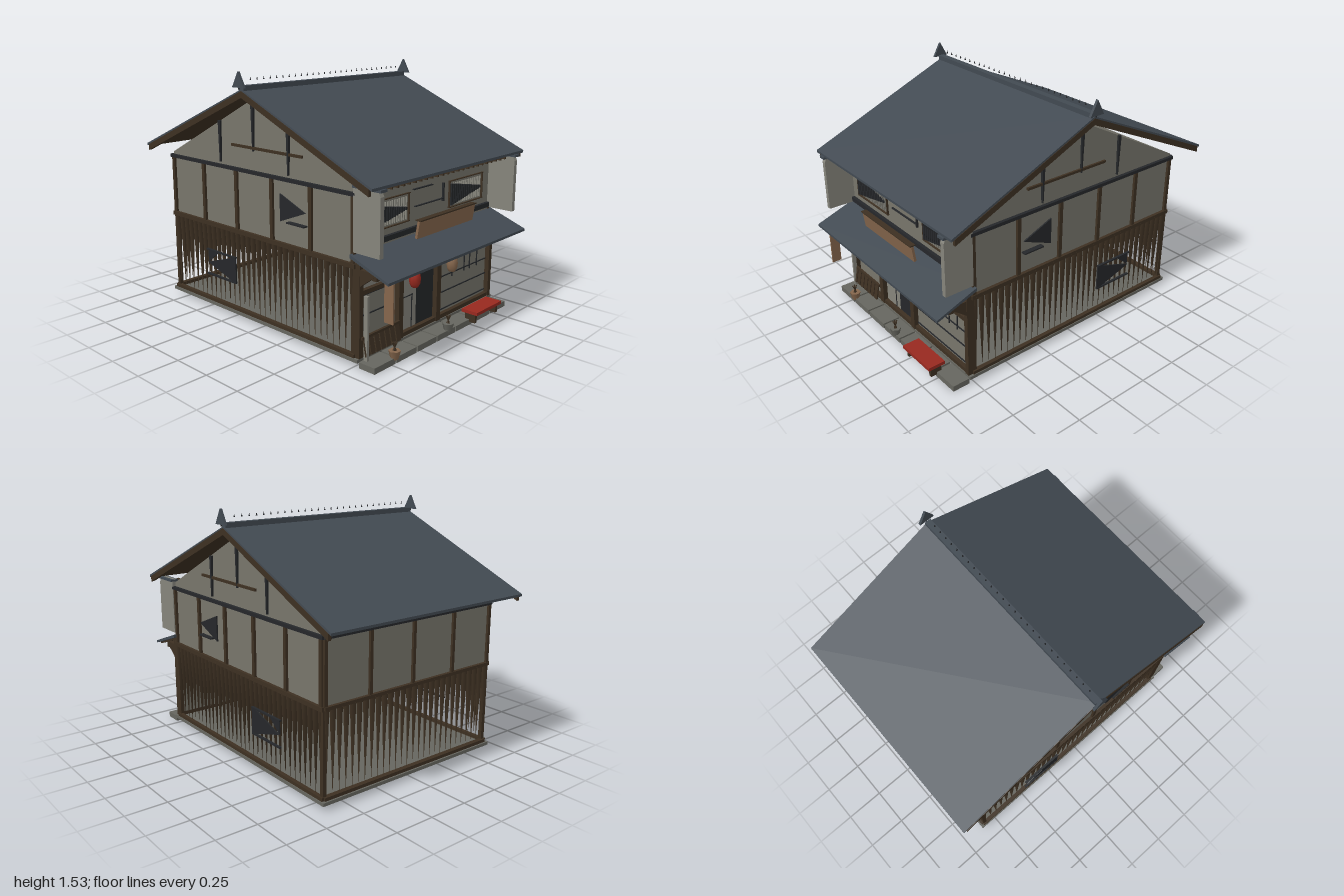
import * as THREE from 'three';

const M = (name, color) => new THREE.MeshStandardMaterial({ name, color, side: THREE.DoubleSide });

export function createModel() {
  const root = new THREE.Group();
  root.name = 'townhouse';
  const plaster = M('plaster', 0x77756b), tile = M('roofTile', 0x424a52), wood = M('darkWood', 0x3d3022);
  const ink = M('charcoal', 0x25272a), tan = M('lightWood', 0x85664c), red = M('red', 0x98291f);
  const stone = M('stone', 0x66665f), pale = M('palePlaster', 0x85847b);

  const add = (name, geo, mat, parent = root) => {
    const m = new THREE.Mesh(geo, mat);
    m.name = name;
    parent.add(m);
    return m;
  };
  // Box given by its limits
  const box = (name, mat, x0, x1, y0, y1, z0, z1, parent = root) => {
    const m = add(name, new THREE.BoxGeometry(x1 - x0, y1 - y0, z1 - z0), mat, parent);
    m.position.set((x0 + x1) / 2, (y0 + y1) / 2, (z0 + z1) / 2);
    return m;
  };
  // Outline in x and y, extruded from z0 to z1
  const prism = (name, mat, pts, z0, z1, parent = root) => {
    const s = new THREE.Shape(pts.map(p => new THREE.Vector2(p[0], p[1])));
    const m = add(name, new THREE.ExtrudeGeometry(s, { depth: z1 - z0, bevelEnabled: false }), mat, parent);
    m.position.z = z0;
    return m;
  };
  // Tapered batten, wide at the top
  const batten = (x, z, parent) => {
    const g = new THREE.ConeGeometry(0.023, 0.5, 4);
    g.rotateX(Math.PI);
    add('wallBatten', g, wood, parent).position.set(x, 0.31, z);
  };

  // Foundation and upper house body
  box('foundation', stone, -0.86, 0.78, 0.03, 0.05, -0.66, 0.66);
  prism('upperWalls', plaster,
    [[-0.83, 0.57], [0.74, 0.57], [0.74, 0.98], [-0.04, 1.37], [-0.83, 0.97]], -0.635, 0.635);

  // Two gable sides, mirrored in z
  for (const s of [1, -1]) {
    const side = new THREE.Group();
    side.name = s > 0 ? 'frontGableSide' : 'backGableSide';
    side.scale.z = s;
    root.add(side);
    box('sillBeam', wood, -0.84, 0.75, 0.045, 0.07, 0.63, 0.655, side);
    box('middleBeam', wood, -0.84, 0.75, 0.55, 0.575, 0.62, 0.655, side);
    box('topBeam', ink, -0.84, 0.75, 0.935, 0.955, 0.62, 0.655, side);
    for (const x of [-0.82, -0.51, -0.2, 0.11, 0.42, 0.73])
      box('wallPost', wood, x - 0.012, x + 0.012, 0.57, 0.95, 0.63, 0.65, side);
    for (const x of [-0.825, 0.735]) box('cornerPost', wood, x - 0.012, x + 0.012, 0.05, 0.57, 0.62, 0.645, side);
    for (let i = 0; i < 34; i++) batten(-0.81 + i * 0.0464, 0.635, side);
    // Gable timbers
    for (const [x, y0, y1] of [[-0.34, 0.97, 1.22], [-0.04, 1.07, 1.36], [0.25, 0.97, 1.22]])
      prism('gableStud', ink, [[x - 0.003, y0], [x + 0.003, y0], [x + 0.011, y1], [x - 0.011, y1]], 0.63, 0.648, side);
    box('gableRail', wood, -0.23, 0.36, 1.08, 1.095, 0.63, 0.648, side);
    // Windows
    prism('upperWindow', ink, [[0.19, 0.7], [0.39, 0.78], [0.19, 0.86]], 0.646, 0.655, side);
    box('upperSill', ink, 0.25, 0.39, 0.7, 0.708, 0.635, 0.665, side);
    prism('lowerWindow', ink, [[-0.47, 0.31], [-0.2, 0.23], [-0.2, 0.4]], 0.658, 0.667, side);
    for (const y of [0.23, 0.39]) box('lowerWindowRail', ink, -0.48, -0.2, y, y + 0.009, 0.655, 0.67, side);
    prism('lowerWindowCorner', ink, [[-0.47, 0.39], [-0.47, 0.31], [-0.37, 0.39]], 0.656, 0.662, side);
    // Wing wall on the street side
    prism('wingWall', pale, [[0.74, 0.64], [0.92, 0.64], [0.92, 0.96], [0.9, 1.0], [0.74, 1.0]], 0.625, 0.655, side);
    box('wingCap', tile, 0.74, 0.93, 0.985, 1.0, 0.615, 0.665, side);
  }

  // Rear wall timbers
  for (let i = 0; i < 28; i++) batten(-0.83, -0.62 + i * 0.046, root);
  for (const z of [-0.63, -0.32, 0, 0.32, 0.63])
    box('rearPost', wood, -0.845, -0.825, 0.57, 0.95, z - 0.01, z + 0.01);
  for (const [y, mat] of [[0.05, wood], [0.555, wood], [0.935, ink]])
    box('rearBeam', mat, -0.85, -0.82, y, y + 0.02, -0.64, 0.64);

  // Main roof, its lining and the bargeboards
  const chevron = (x0, x1, top, eave, t) =>
    [[x0, eave], [-0.04, top], [x1, eave], [x1, eave - t], [-0.04, top - t], [x0, eave - t]];
  prism('mainRoof', tile, chevron(-1, 0.92, 1.43, 1.015, 0.015), -0.725, 0.72);
  prism('roofLining', wood, chevron(-0.97, 0.89, 1.415, 1.015, 0.014), -0.71, 0.705);
  for (const z of [-0.728, 0.703]) prism('bargeboard', wood, chevron(-0.98, 0.9, 1.42, 1.01, 0.038), z, z + 0.02);
  for (let i = 0; i < 25; i++) {
    const z = -0.6 + i * 0.05;
    box('rafterEnd', wood, 0.74, 0.87, 0.968, 0.98, z - 0.006, z + 0.006);
  }
  box('ridge', tile, -0.06, -0.02, 1.415, 1.45, -0.72, 0.72);
  for (let i = 0; i < 27; i++)
    add('ridgeStud', new THREE.ConeGeometry(0.006, 0.018, 4), ink).position.set(-0.04, 1.485, -0.65 + i * 0.05);
  for (const s of [1, -1]) {
    prism('ridgeOrnament', tile, [[-0.09, 1.44], [0.01, 1.44], [-0.04, 1.53]], s * 0.735 - 0.008, s * 0.735 + 0.008);
    box('ridgeOrnamentStem', ink, -0.043, -0.037, 1.43, 1.51, s * 0.735 - 0.003, s * 0.735 + 0.003);
  }

  // Upper street wall: trims, lattice windows and signboard
  box('upperStreetBeam', ink, 0.74, 0.76, 0.645, 0.675, -0.62, 0.63);
  box('eaveBeam', wood, 0.74, 0.76, 0.945, 0.953, -0.6, 0.4);
  for (const z of [0.54, -0.2]) {
    const g = new THREE.Group();
    g.name = 'latticeWindow';
    root.add(g);
    for (const y of [0.715, 0.875]) box('latticeFrame', wood, 0.74, 0.752, y, y + 0.005, z - 0.35, z + 0.01, g);
    for (const dz of [0.005, -0.345]) box('latticeFrame', wood, 0.74, 0.752, 0.715, 0.88, z + dz, z + dz + 0.005, g);
    for (let i = 0; i < 16; i++) {
      const h = 0.066 * (1 - i / 17), c = z - 0.01 - i * 0.02;
      box('latticeBar', ink, 0.74, 0.756, 0.795 - h, 0.795 + h, c - 0.007, c + 0.007, g);
      box('latticeSlat', pale, 0.74, 0.75, 0.73, 0.86, c - 0.012, c - 0.008, g);
    }
  }
  box('wallTrim', ink, 0.74, 0.752, 0.77, 0.88, -0.135, -0.125);
  box('wallTrim', ink, 0.74, 0.752, 0.885, 0.891, -0.02, 0.16);
  box('wallTrim', ink, 0.74, 0.752, 0.785, 0.79, -0.13, 0.14);
  const sign = box('signboard', tan, 0.855, 0.87, 0.65, 0.75, -0.27, 0.27);
  sign.rotation.z = -0.15;
  box('signRail', wood, 0.85, 0.885, 0.75, 0.757, -0.27, 0.27);

  // Lower street roof with brackets
  prism('lowerRoof', tile, [[0.73, 0.63], [0.99, 0.535], [0.99, 0.52], [0.73, 0.61]], -0.67, 0.67);
  prism('lowerRoofLining', wood, [[0.74, 0.605], [0.97, 0.525], [0.97, 0.515], [0.74, 0.59]], -0.65, 0.65);
  box('lowerRoofBeam', wood, 0.86, 0.89, 0.51, 0.545, -0.64, 0.64);

  // Ground-floor street front
  for (const [z, w] of [[0.63, 0.015], [0.29, 0.02], [-0.07, 0.02], [-0.63, 0.015]]) {
    box('streetPost', wood, 0.74, 0.78, 0.05, 0.58, z - w, z + w);
    prism('roofBracket', wood, [[0.77, 0.55], [0.9, 0.55], [0.77, 0.45]], z - 0.012, z + 0.012);
  }
  box('transom', pale, 0.735, 0.75, 0.42, 0.59, -0.63, 0.63);
  box('lintel', wood, 0.735, 0.775, 0.4, 0.425, -0.64, 0.64);
  box('threshold', wood, 0.735, 0.775, 0.05, 0.075, -0.64, 0.64);
  box('leftScreen', plaster, 0.735, 0.75, 0.07, 0.4, 0.3, 0.63);
  box('slidingDoor', pale, 0.735, 0.75, 0.07, 0.4, 0.115, 0.28);
  box('darkDoor', ink, 0.735, 0.75, 0.07, 0.4, -0.06, 0.115);
  box('rightScreen', plaster, 0.735, 0.75, 0.07, 0.4, -0.63, -0.08);
  for (const z of [-0.24, -0.37, -0.43, -0.51])
    box('screenBar', ink, 0.748, 0.756, 0.28, 0.4, z - 0.003, z + 0.003);
  for (const y of [0.09, 0.2, 0.3])
    box('screenRail', ink, 0.748, 0.756, y, y + 0.006, -0.62, -0.09);
  for (const y of [0.27, 0.385]) box('screenRail', ink, 0.748, 0.756, y, y + 0.006, 0.32, 0.6);
  box('doorMark', ink, 0.748, 0.754, 0.27, 0.275, 0.15, 0.27);
  box('doorMark', ink, 0.748, 0.754, 0.07, 0.28, 0.155, 0.16);

  // Slanted guard fence
  box('guardRail', wood, 0.775, 0.79, 0.155, 0.17, 0.31, 0.63);
  for (let i = 0; i < 7; i++) {
    const slat = box('guardSlat', wood, 0.79, 0.798, 0.06, 0.16, 0.32 + i * 0.044, 0.355 + i * 0.044);
    slat.rotation.z = 0.2;
  }

  // Lanterns and hanging sign
  const lantern = [[0, -0.045], [0.02, -0.045], [0.03, -0.025], [0.033, 0], [0.03, 0.025], [0.02, 0.045], [0, 0.045]]
    .map(p => new THREE.Vector2(...p));
  for (const [z, mat] of [[0.29, red], [-0.065, tan]]) {
    add('lantern', new THREE.LatheGeometry(lantern, 8), mat).position.set(0.87, 0.43, z);
    box('lanternCord', ink, 0.867, 0.873, 0.47, 0.53, z - 0.003, z + 0.003);
  }
  box('hangingSign', tan, 0.9, 0.96, 0.28, 0.5, 0.58, 0.59);

  // Pale drain pole, bench, planter and paving
  box('cornerPole', pale, 0.785, 0.81, 0.02, 0.4, 0.6, 0.615);
  box('bench', red, 0.84, 0.95, 0.075, 0.095, -0.5, -0.23);
  for (const z of [-0.48, -0.25]) box('benchLeg', wood, 0.86, 0.93, 0.02, 0.075, z - 0.01, z + 0.01);
  for (const z of [0.47, -0.03]) {
    add('planter', new THREE.CylinderGeometry(0.035, 0.022, 0.05, 6), z > 0 ? tan : stone).position.set(0.88, 0.05, z);
    for (let i = 0; i < 5; i++) {
      const stem = box('plantStem', wood, 0.877, 0.883, 0.06, 0.125, z - 0.003, z + 0.003);
      stem.rotation.set(0.4 * Math.sin(i * 2.5), 0, 0.4 * Math.cos(i * 2.5));
    }
  }
  for (let i = 0; i < 7; i++)
    box('pavingStone', stone, 0.78, 0.89, 0, 0.035, -0.65 + i * 0.187, -0.475 + i * 0.187);
  return root;
}
